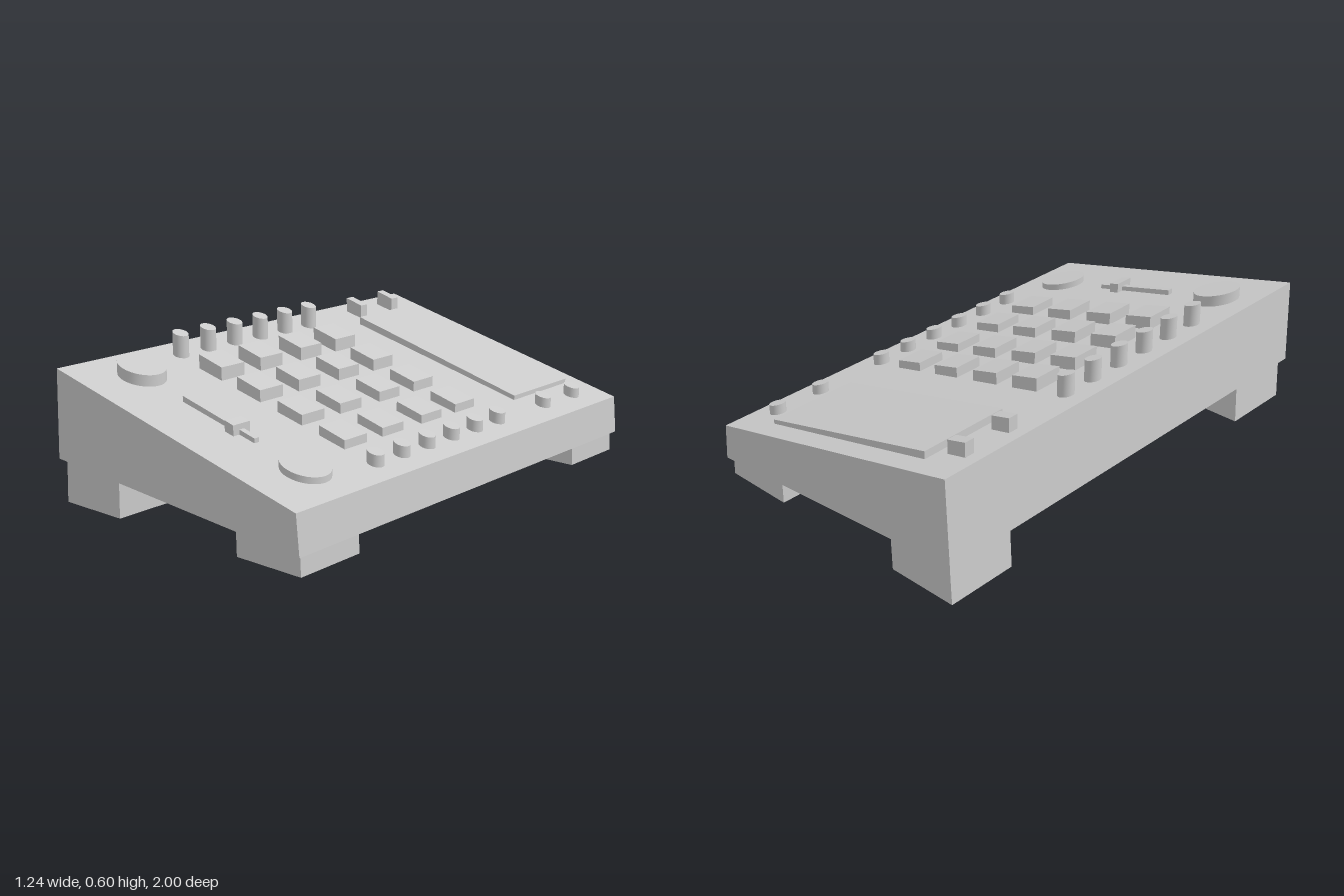
import * as THREE from 'three';

const material = new THREE.MeshStandardMaterial({ color: 0xcccccc });

// Heights of the sloping top panel and underside, and the taper of raised controls
const panelY = (x) => 0.379 - 0.247 * x;
const baseY = (x) => 0.126 - 0.078 * x;
const taper = (x) => 1 - 0.65 * x;

function warp(geometry, rule) {
  const p = geometry.attributes.position;
  const v = new THREE.Vector3();
  for (let i = 0; i < p.count; i++) {
    rule(v.fromBufferAttribute(p, i));
    p.setXYZ(i, v.x, v.y, v.z);
  }
  geometry.computeVertexNormals();
  return geometry;
}

export function createModel() {
  const model = new THREE.Group();

  const add = (name, geometry) => {
    const mesh = new THREE.Mesh(geometry, material);
    mesh.name = name;
    model.add(mesh);
  };

  // Shears a flat-standing control onto the sloping panel
  const addControl = (name, geometry, x, z, height) => {
    geometry.translate(x, height / 2, z);
    add(name, warp(geometry, (v) => { v.y = panelY(v.x) + v.y * taper(v.x); }));
  };
  const addBlock = (name, x, z, width, depth, height) =>
    addControl(name, new THREE.BoxGeometry(width, height, depth), x, z, height);
  const addRound = (name, x, z, radius, height) =>
    addControl(name, new THREE.CylinderGeometry(radius, radius, height, 32), x, z, height);

  // Wedge-shaped case
  const profile = new THREE.Shape([
    new THREE.Vector2(-0.62, 0.175),
    new THREE.Vector2(0.617, 0.078),
    new THREE.Vector2(0.603, 0.23),
    new THREE.Vector2(-0.607, 0.529),
  ]);
  const caseGeometry = new THREE.ExtrudeGeometry(profile, { depth: 2, bevelEnabled: false });
  add('case', caseGeometry.translate(0, 0, -1));

  // Four feet, cut to meet the sloping underside
  for (const x of [-0.455, 0.455]) {
    for (const z of [-0.83, 0.83]) {
      const foot = new THREE.BoxGeometry(0.3, 1, 0.3).translate(x, 0.5, z);
      add('foot', warp(foot, (v) => {
        v.y *= baseY(v.x);
        v.x *= 1 - 0.07 * v.y;
      }));
    }
  }

  // Display
  addBlock('screen', -0.002, -0.718, 0.831, 0.384, 0.025);

  // Pad grid
  for (const x of [-0.316, -0.111, 0.101, 0.31]) {
    for (const z of [-0.24, -0.025, 0.21, 0.426]) {
      addBlock('pad', x, z, 0.123, 0.125, 0.045);
    }
  }

  // Knob columns on both sides of the pads
  for (const x of [-0.503, 0.499]) {
    for (let i = 0; i < 6; i++) addRound('knob', x, -0.283 + i * 0.15, 0.032, 0.068);
  }

  // Buttons and small knobs beside the display
  for (const z of [-0.824, -0.609]) {
    addBlock('button', -0.505, z, 0.085, 0.042, 0.044);
    addRound('smallKnob', 0.499, z, 0.032, 0.062);
  }

  // Large dials and the slider between them
  for (const x of [-0.42, 0.415]) addRound('dial', x, 0.746, 0.093, 0.036);
  addBlock('sliderTrack', -0.002, 0.746, 0.366, 0.024, 0.02);
  addBlock('sliderHandle', 0.085, 0.746, 0.043, 0.085, 0.043);

  return model;
}
